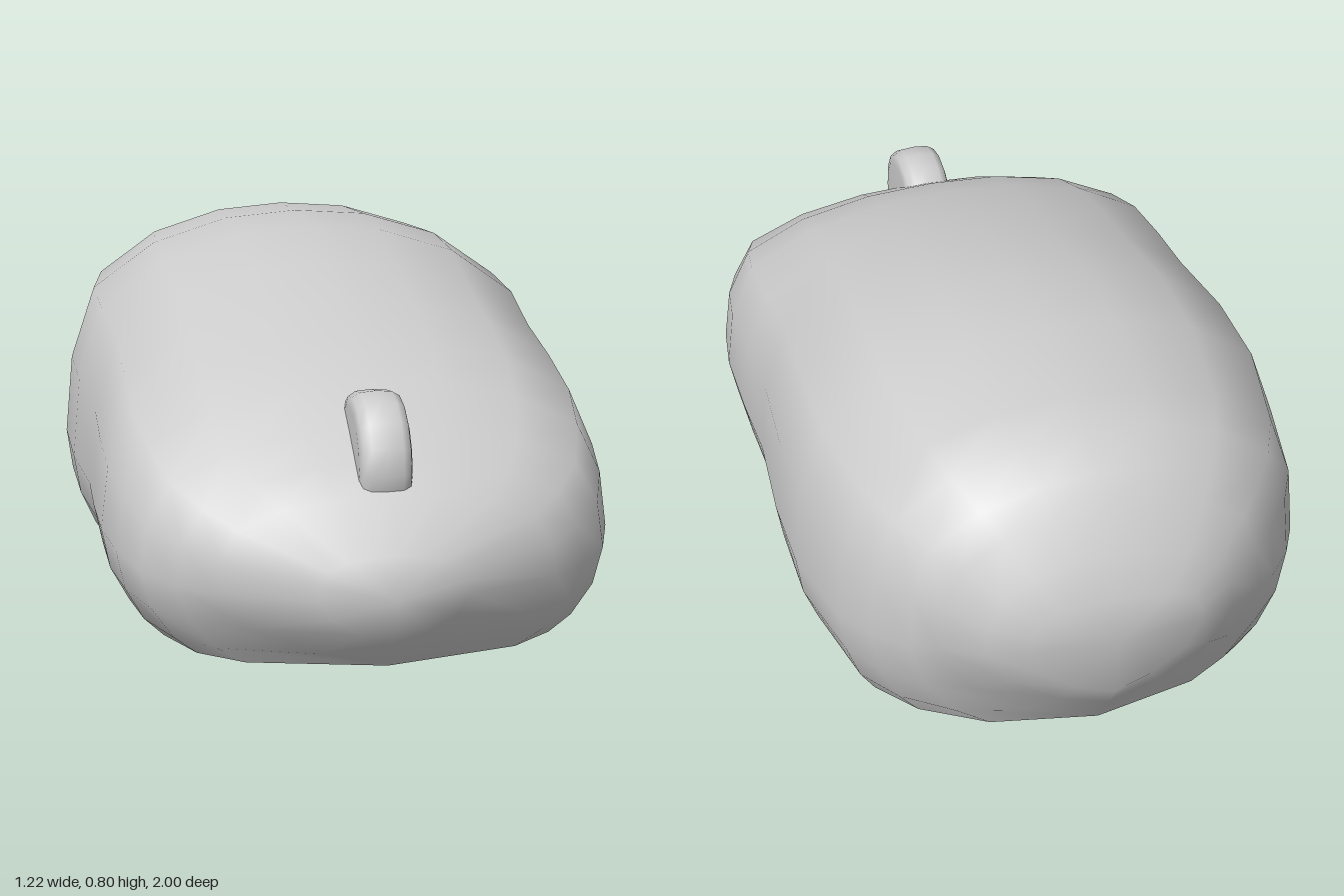
import * as THREE from 'three';
import { mergeVertices } from 'three/addons/utils/BufferGeometryUtils.js';

// Cross-sections front to back: z, half width, top y, widest y, bottom y, base half width
const STATIONS = [
  [1.0, 0, 0.19, 0.19, 0.19, 0],
  [0.972, 0.17, 0.285, 0.19, 0.085, 0],
  [0.885, 0.385, 0.40, 0.19, 0, 0],
  [0.81, 0.465, 0.45, 0.19, 0, 0.31],
  [0.73, 0.535, 0.505, 0.20, 0, 0.41],
  [0.6, 0.577, 0.585, 0.21, 0, 0.47],
  [0.46, 0.597, 0.645, 0.22, 0, 0.49],
  [0.27, 0.597, 0.70, 0.22, 0, 0.485],
  [0.08, 0.59, 0.75, 0.22, 0, 0.485],
  [-0.16, 0.608, 0.795, 0.22, 0, 0.52],
  [-0.38, 0.608, 0.795, 0.23, 0, 0.53],
  [-0.62, 0.56, 0.77, 0.25, 0, 0.48],
  [-0.72, 0.51, 0.74, 0.27, 0, 0.40],
  [-0.81, 0.44, 0.695, 0.29, 0, 0.25],
  [-0.86, 0.385, 0.64, 0.31, 0, 0],
  [-0.93, 0.295, 0.55, 0.33, 0.11, 0],
  [-0.972, 0.205, 0.46, 0.35, 0.18, 0],
  [-1.0, 0, 0.36, 0.36, 0.36, 0],
];

// Section rules: [share of width, share of height]
const LOWER = [[0, 0], [0.42, 0.2], [0.82, 0.56]];
const CROWN = [[1, 0], [0.97, 0.35], [0.87, 0.67], [0.61, 0.87], [0.3, 0.974]];

function section([z, w, top, mid, bottom, base]) {
  const half = [
    ...LOWER.map(([u, v]) => [base + (w - base) * u, bottom + (mid - bottom) * v, z]),
    ...CROWN.map(([u, v]) => [w * u, mid + (top - mid) * v, z]),
  ];
  const mirrored = half.map(([x, y]) => [-x, y, z]).reverse();
  return [...half, [0, top, z], ...mirrored];
}

// Smooth skin lofted through the sections
function shellGeometry() {
  const rings = STATIONS.map(section);
  const n = rings[0].length;
  const index = [];
  for (let i = 0; i < rings.length - 1; i++) {
    for (let j = 0; j < n - 1; j++) {
      const a = i * n + j, b = a + 1, c = a + n, d = c + 1;
      index.push(a, c, b, b, c, d);
    }
  }
  const g = new THREE.BufferGeometry();
  g.setAttribute('position', new THREE.Float32BufferAttribute(rings.flat(2), 3));
  g.setIndex(index);
  const merged = mergeVertices(g, 1e-4);
  merged.computeVertexNormals();
  return merged;
}

// Flat underside that follows the lower edge of the shell
function baseGeometry() {
  const edge = STATIONS.filter((s) => s[4] === 0);
  const right = edge.map((s) => new THREE.Vector2(s[5], s[0]));
  const left = edge.slice(1, -1).reverse().map((s) => new THREE.Vector2(-s[5], s[0]));
  return new THREE.ShapeGeometry(new THREE.Shape([...right, ...left])).rotateX(Math.PI / 2);
}

// Scroll wheel with rounded rims, turning about x
function wheelGeometry() {
  const profile = [
    [0, -0.06], [0.12, -0.06], [0.142, -0.054], [0.153, -0.036], [0.156, 0],
    [0.153, 0.036], [0.142, 0.054], [0.12, 0.06], [0, 0.06],
  ].map(([r, y]) => new THREE.Vector2(r, y));
  return new THREE.LatheGeometry(profile, 16).rotateZ(Math.PI / 2);
}

export function createModel() {
  const group = new THREE.Group();
  group.name = 'computerMouse';
  const grey = new THREE.MeshStandardMaterial({ color: 0xcccccc });
  grey.name = 'light grey';

  const add = (name, geometry) => {
    const mesh = new THREE.Mesh(geometry, grey);
    mesh.name = name;
    group.add(mesh);
    return mesh;
  };

  add('shell', shellGeometry());
  add('base', baseGeometry());
  add('scrollWheel', wheelGeometry()).position.set(0, 0.44, 0.73);
  return group;
}
